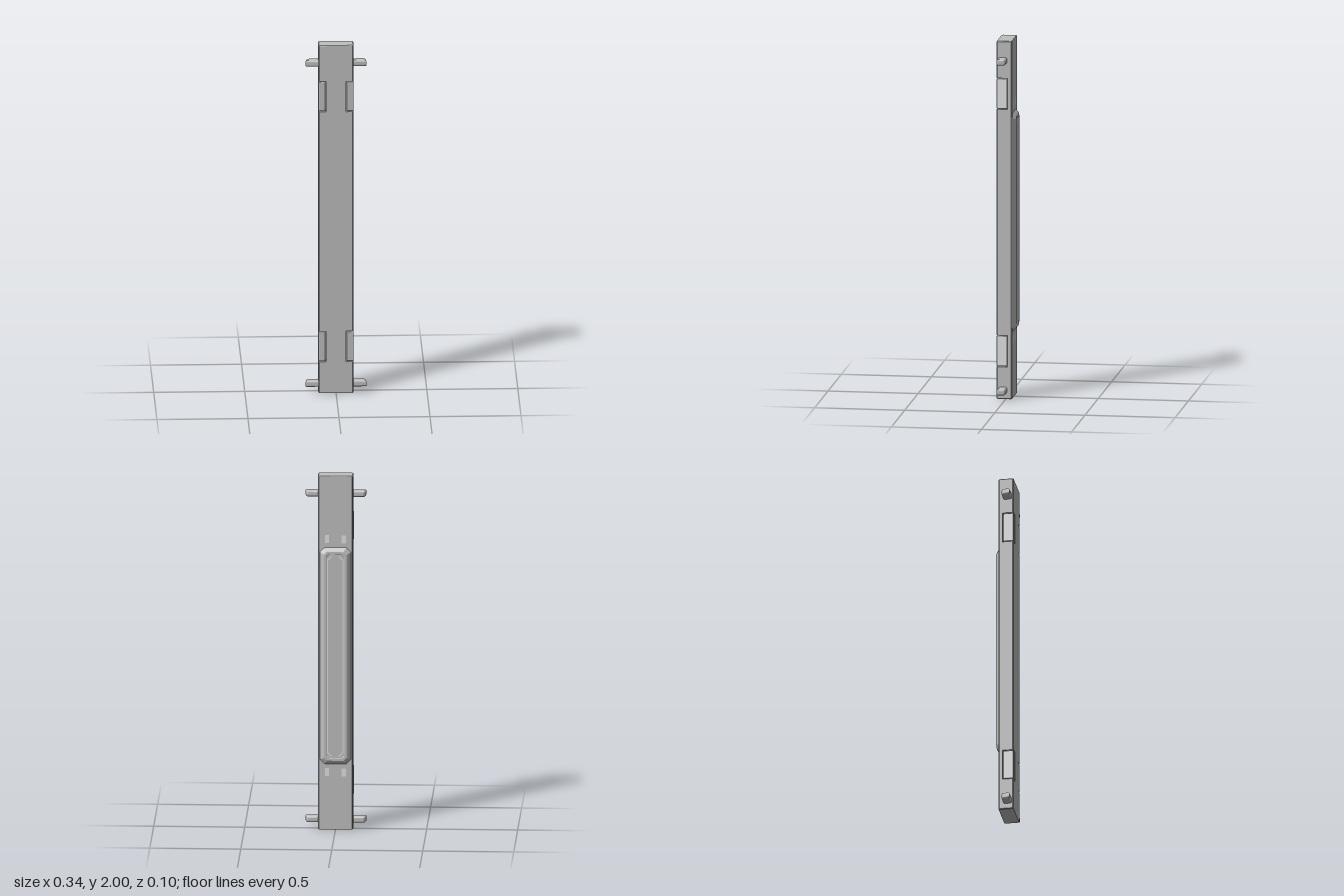
import * as THREE from 'three';
import { RoundedBoxGeometry } from 'three/addons/geometries/RoundedBoxGeometry.js';

const grey = new THREE.MeshStandardMaterial({ color: 0xbfbfbf });
grey.name = 'grey';
const lightGrey = new THREE.MeshStandardMaterial({ color: 0xe2e2e2 });
lightGrey.name = 'light grey';

export function createModel() {
  const model = new THREE.Group();
  model.name = 'bar';
  const add = (name, geometry, x = 0, y = 0, z = 0, material = grey) => {
    const mesh = new THREE.Mesh(geometry, material);
    mesh.name = name;
    mesh.position.set(x, y, z);
    model.add(mesh);
    return mesh;
  };

  // Upright prism from an outline of [x, z] points; optional inset of either end
  const prism = (outline, y0, y1, bottomScale = 1, topScale = 1) => {
    const shape = new THREE.Shape(outline.map(([x, z]) => new THREE.Vector2(x, -z)));
    const g = new THREE.ExtrudeGeometry(shape, { depth: y1 - y0, bevelEnabled: false });
    g.rotateX(-Math.PI / 2);
    const p = g.attributes.position;
    for (let i = 0; i < p.count; i++) {
      const s = p.getY(i) > (y1 - y0) / 2 ? topScale : bottomScale;
      p.setXYZ(i, p.getX(i) * s, p.getY(i) + y0, (p.getZ(i) - 0.0075) * s + 0.0075);
    }
    g.computeVertexNormals();
    return g;
  };

  // Main bar: full sections, with notched sections where the clips sit
  const W = 0.097, F = 0.05, B = -0.035, c = 0.006;
  const full = [[-W + c, F], [-W, F - c], [-W, B + c], [-W + c, B],
    [W - c, B], [W, B + c], [W, F - c], [W - c, F]];
  const notched = [[-0.055, F], [-0.055, -0.012], [-W, -0.012], [-W, B + c], [-W + c, B],
    [W - c, B], [W, B + c], [W, -0.012], [0.055, -0.012], [0.055, F]];
  const clipRanges = [[0.18, 0.356], [1.618, 1.793]];
  add('bottomEdge', prism(full, 0, 0.004, 0.96, 1));
  add('topEdge', prism(full, 1.996, 2, 1, 0.96));
  [[0.004, 0.18], [0.356, 1.618], [1.793, 1.996]].forEach(([a, b]) => add('barSection', prism(full, a, b)));
  clipRanges.forEach(([a, b]) => add('notchedSection', prism(notched, a, b)));

  // Corner clips, separated from the bar by a narrow groove, with pale outer faces
  for (const side of [-1, 1]) {
    for (const [a, b] of clipRanges) {
      const y = (a + b) / 2, h = b - a - 0.007;
      add('cornerClip', new RoundedBoxGeometry(0.039, h, 0.059, 2, 0.005), side * 0.0775, y, 0.0208);
      const face = add('clipFace', new THREE.PlaneGeometry(0.05, h - 0.009), side * 0.0975, y, 0.0208, lightGrey);
      face.rotation.y = side * Math.PI / 2;
    }
  }

  // Side pegs with slanted, rounded ends
  const pegShape = new THREE.Shape();
  pegShape.moveTo(0.08, -0.029);
  pegShape.lineTo(0.157, -0.029);
  pegShape.lineTo(0.153, -0.006);
  pegShape.quadraticCurveTo(0.152, -0.003, 0.149, -0.003);
  pegShape.lineTo(0.08, -0.003);
  pegShape.closePath();
  const pegGeometry = new THREE.ExtrudeGeometry(pegShape, {
    depth: 0.014, bevelThickness: 0.011, bevelSize: 0.011, bevelSegments: 4, curveSegments: 4,
  });
  pegGeometry.translate(0, 0, -0.007);
  pegGeometry.rotateX(-Math.PI / 2);
  for (const y of [0.05, 1.892]) {
    add('leftPeg', pegGeometry, 0, y);
    // Half turn about z mirrors the peg, which is symmetric in height
    add('rightPeg', pegGeometry, 0, y).rotation.z = Math.PI;
  }

  // Raised back panel: nested chamfered rectangles form the slope, rim and shallow recess
  const panelY = 0.984;
  const rings = [
    [0.086, 0.613, -0.034, 0.026], [0.066, 0.594, -0.051, 0.018], [0.062, 0.59, -0.053, 0.017],
    [0.05, 0.578, -0.053, 0.014], [0.047, 0.575, -0.051, 0.013],
  ].map(([w, h, z, k]) => [[w, h - k], [w - k, h], [-w + k, h], [-w, h - k],
    [-w, -h + k], [-w + k, -h], [w - k, -h], [w, -h + k]].map(([x, y]) => [x, y, z]));
  const pos = [];
  for (let r = 0; r < rings.length - 1; r++) {
    for (let i = 0; i < 8; i++) {
      const j = (i + 1) % 8;
      const [a, b, d, e] = [rings[r][i], rings[r][j], rings[r + 1][j], rings[r + 1][i]];
      pos.push(...a, ...d, ...b, ...a, ...e, ...d);
    }
  }
  const inner = rings[rings.length - 1];
  for (let i = 1; i < 7; i++) pos.push(...inner[0], ...inner[i + 1], ...inner[i]);
  const panel = new THREE.BufferGeometry();
  panel.setAttribute('position', new THREE.Float32BufferAttribute(pos, 3));
  panel.computeVertexNormals();
  add('backPanel', panel, 0, panelY, 0);

  // Flat pale details facing backwards
  const plate = (name, w, h, x, y, z, tilt = 0) => {
    const g = new THREE.PlaneGeometry(w, h);
    g.rotateY(Math.PI);
    add(name, g, x, y, z, lightGrey).rotation.z = tilt;
  };
  for (const side of [-1, 1]) {
    plate('panelStripe', 0.006, 1.1, side * 0.043, panelY, -0.0515);
    for (const end of [-1, 1]) {
      plate('cornerTick', 0.006, 0.028, side * 0.03, panelY + end * 0.556, -0.0515, side * end * 0.8);
      plate('backMark', 0.023, 0.045, side * 0.046, panelY + end * 0.659, -0.0356);
    }
  }
  return model;
}
